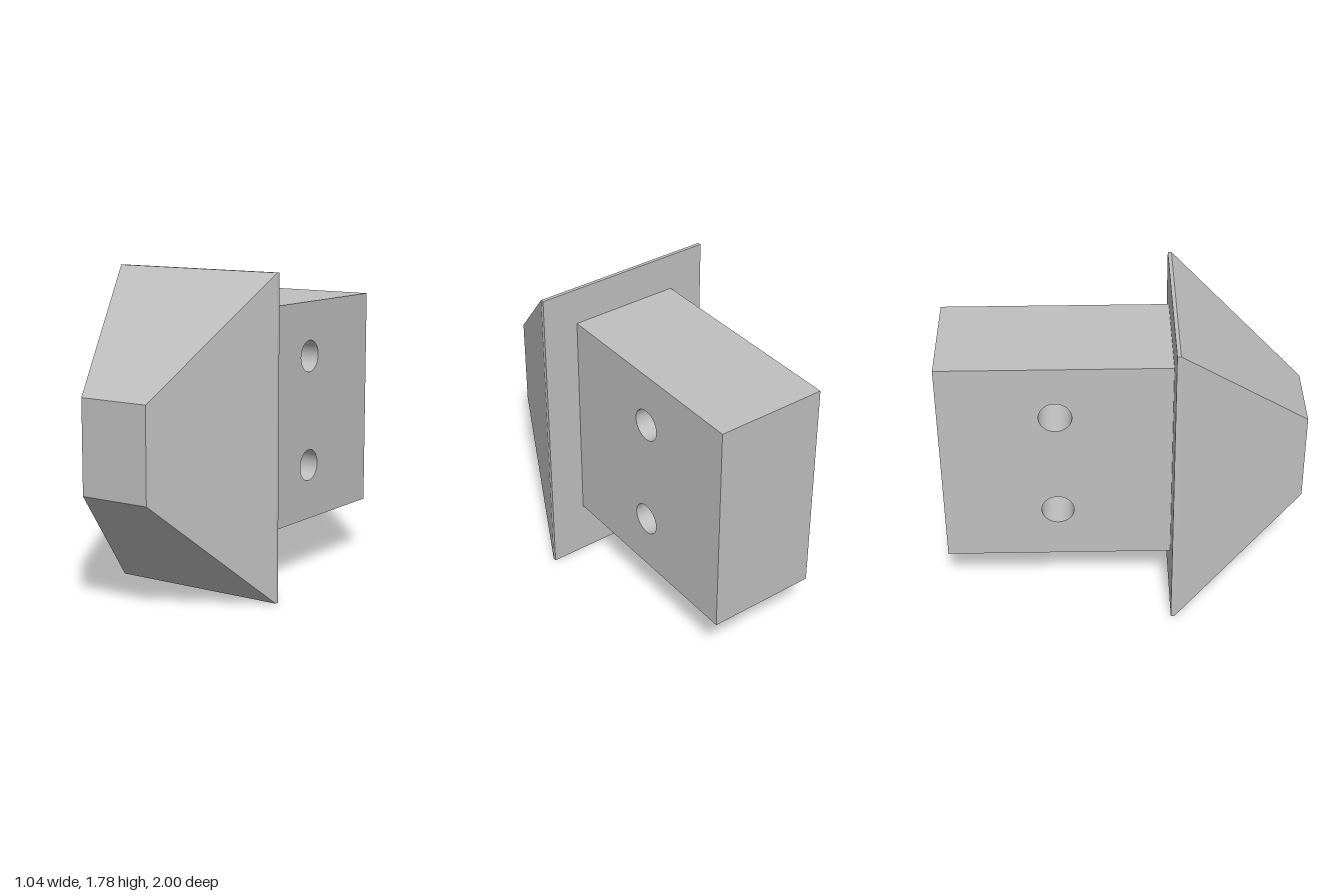
import * as THREE from 'three';

export function createModel() {
  const group = new THREE.Group();
  const grey = new THREE.MeshStandardMaterial({ color: 0xbfbfbf });
  grey.name = 'plain grey';

  const add = (name, geometry) => {
    const mesh = new THREE.Mesh(geometry, grey);
    mesh.name = name;
    group.add(mesh);
    return mesh;
  };

  // Mounting block: side profile with two bolt holes, extruded across x
  const halfWidth = 0.315;
  const profile = new THREE.Shape([
    new THREE.Vector2(-1, 0.315),
    new THREE.Vector2(0.26, 0.315),
    new THREE.Vector2(0.26, 1.57),
    new THREE.Vector2(-1, 1.57),
  ]);
  for (const y of [0.63, 1.26]) {
    profile.holes.push(new THREE.Path().absarc(-0.37, y, 0.09, 0, Math.PI * 2, true));
  }
  const block = new THREE.ExtrudeGeometry(profile, {
    depth: halfWidth * 2, bevelEnabled: false, curveSegments: 48,
  });
  block.translate(0, 0, -halfWidth).rotateY(-Math.PI / 2);
  add('mountingBlock', block);

  // Thin straight rim behind the tapered nose
  const width = 1.044, height = 1.78, rimBack = 0.26, rimFront = 0.28;
  add('rim', new THREE.BoxGeometry(width, height, rimFront - rimBack))
    .position.set(0, height / 2, (rimBack + rimFront) / 2);

  // Nose: a box whose front face is shrunk into a truncated pyramid
  const length = 1 - rimFront;
  const nose = new THREE.BoxGeometry(width, height, length);
  const p = nose.attributes.position;
  for (let i = 0; i < p.count; i++) {
    if (p.getZ(i) > 0) p.setXY(i, Math.sign(p.getX(i)) * 0.21, Math.sign(p.getY(i)) * 0.261);
  }
  nose.computeVertexNormals();
  add('taperedNose', nose).position.set(0, height / 2, rimFront + length / 2);

  return group;
}
